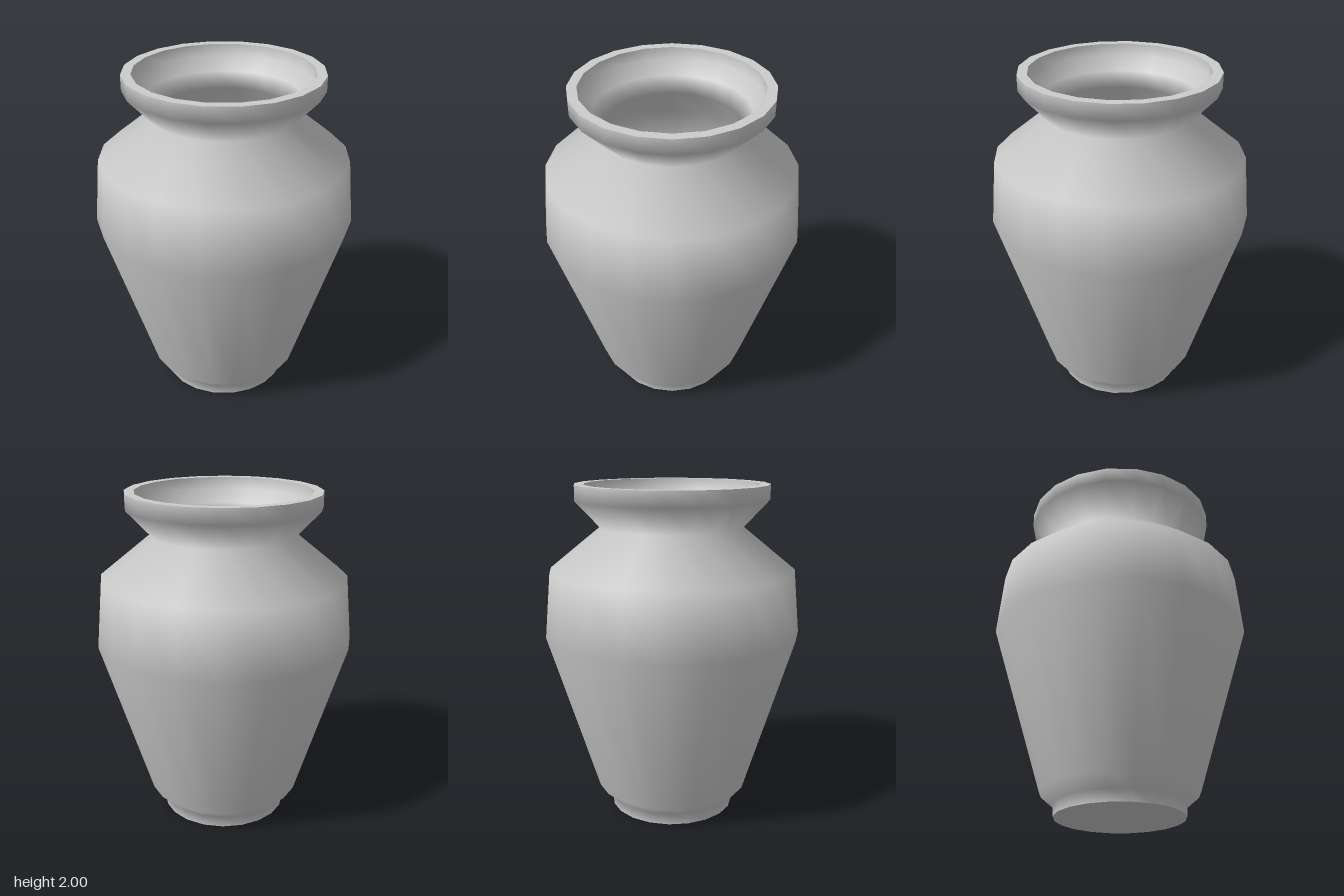
import * as THREE from 'three';

const SIDES = 20;

export function createModel() {
  const vase = new THREE.Group();
  vase.name = 'vase';
  const material = new THREE.MeshStandardMaterial({ color: 0xcccccc });

  // Each section is smooth in itself; the seams between sections stay sharp.
  const addSection = (name, profile) => {
    const points = profile.map(([r, y]) => new THREE.Vector2(r, y));
    const mesh = new THREE.Mesh(new THREE.LatheGeometry(points, SIDES), material);
    mesh.name = name;
    vase.add(mesh);
  };

  // Underside of the foot
  addSection('base', [[0, 0], [0.38, 0]]);

  // Foot, belly, shoulder, neck and flared lip
  addSection('outerWall', [
    [0.38, 0], [0.385, 0.07], [0.465, 0.14], [0.768, 1.12],
    [0.733, 1.5], [0.425, 1.75], [0.575, 1.91], [0.575, 2],
  ]);

  // Flat top of the lip
  addSection('rim', [[0.575, 2], [0.518, 2]]);

  // Hollow inside, following the outer wall down to the floor
  addSection('innerWall', [
    [0.518, 2], [0.515, 1.93], [0.45, 1.85], [0.388, 1.765], [0.69, 1.48],
    [0.72, 1.13], [0.425, 0.17], [0.345, 0.1], [0.345, 0.06],
  ]);

  // Inside floor
  addSection('floor', [[0.345, 0.06], [0, 0.06]]);

  return vase;
}
